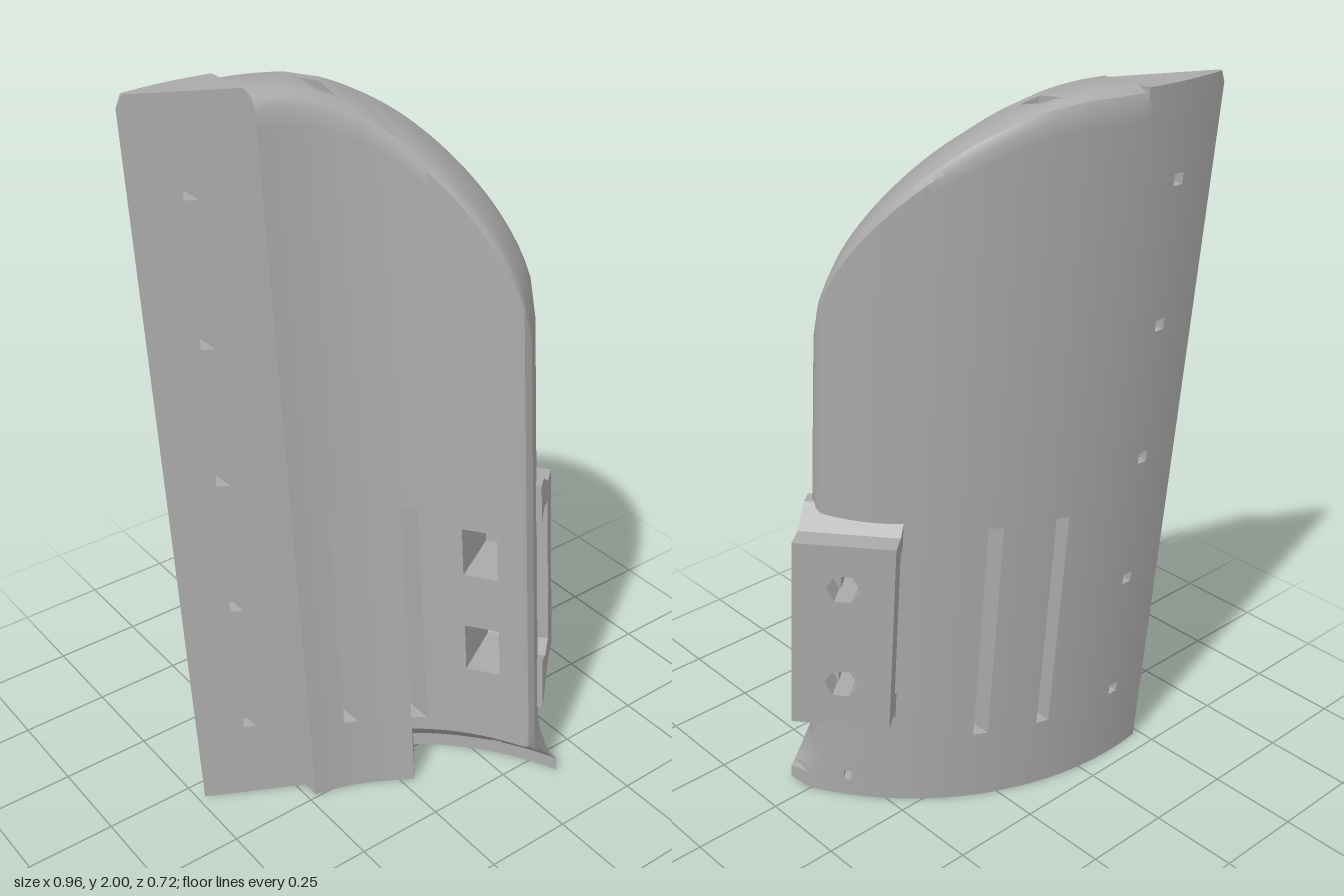
import * as THREE from 'three';
import { toCreasedNormals } from 'three/addons/utils/BufferGeometryUtils.js';

const CX = -0.37, CZ = 0.642, RI = 0.668, RO = 0.842; // shared arc centre, inner and outer radius
const LEAN = new THREE.Matrix4().set(1, 0, 0, 0, 0, 1, 0, 0, 0, -0.085, 1, 0, 0, 0, 0, 1);
const lerp = THREE.MathUtils.lerp, clamp = THREE.MathUtils.clamp;

// Columns of the shell: [front x, back x]; equal neighbours make a step
const KNOTS = [
  [-0.48, -0.48], [-0.365, -0.365], [-0.335, -0.335], [-0.225, -0.225],
  [-0.225, -0.225], [-0.13, -0.13], [-0.095, -0.095], [-0.07, -0.07], [0, 0], [0.035, 0.035],
  [0.035, 0.035], [0.07, 0.07], [0.149, 0.302], [0.17, 0.313], [0.185, 0.325], [0.203, 0.336], [0.247, 0.38],
];
const ROWS = [0, 0.04, 0.055, 0.085, 0.13, 0.18, 0.22, 0.225, 0.255, 0.4, 0.54, 0.605, 0.635, 0.7, 0.84, 0.89,
  0.985, 1.015, 1.1, 1.25, 1.365, 1.395, 1.5, 1.6, 1.68, 1.745, 1.775, 1.85, 1.92, 1.96, 1.985, 2];
const SCREWS = [0.24, 0.62, 1, 1.38, 1.76];
const TOP_HOLE = 7;

function isHole(seg, y) {
  if (seg === 1) return SCREWS.some((s) => Math.abs(y - s) < 0.015);
  if (seg === 5 || seg === 10) return y > 0.22 && y < 0.89;
  if (seg === 13 && y > 0.055 && y < 0.085) return true;
  if (seg >= 12 && seg <= 14) return (y > 0.4 && y < 0.54) || (y > 0.7 && y < 0.84);
  return false;
}

// Rounded upper corner of the shell
function topHeight(x, x0, x1) {
  const t = clamp((x - x0) / (x1 - x0), 0, 1);
  return 1.4 + 0.6 * Math.sqrt(1 - t * t) - (x < -0.47 ? 0.03 : 0);
}

function makeColumns() {
  const cols = [];
  const ang = (x, r) => Math.asin((x - CX) / r);
  for (let s = 0; s < KNOTS.length - 1; s++) {
    const [f0, b0] = KNOTS[s], [f1, b1] = KNOTS[s + 1];
    const step = f0 === f1;
    const a0 = ang(f0, RI), a1 = ang(f1, RI), c0 = ang(b0, RO), c1 = ang(b1, RO);
    const n = step || s === TOP_HOLE ? 1 : Math.max(1, Math.ceil((Math.max(a1 - a0, c1 - c0)) / 0.027));
    for (let i = 0; i < n; i++) cols.push({ a: lerp(a0, a1, i / n), b: lerp(c0, c1, i / n), seg: s, flange: s <= 3, pocket: s >= 10 });
    if (s === KNOTS.length - 2) cols.push({ a: a1, b: c1, seg: s, pocket: true });
  }
  const N = cols.length;
  cols.forEach((c, i) => { c.k = i === N - 1 ? 0.2 : i === N - 2 ? 0.05 : 0; });
  return cols;
}

function shellGeometry() {
  const cols = makeColumns(), pos = [];
  const quad = (a, b, c, d) => { for (const p of [a, b, c, a, c, d]) pos.push(p.x, p.y, p.z); };
  const rowY = (y, h) => (y <= 1.1 ? y : 1.1 + (h - 1.1) * (y - 1.1) / 0.9);
  const front = [], back = [];
  cols.forEach((c, i) => {
    front[i] = []; back[i] = [];
    ROWS.forEach((y, j) => {
      // the lower pocket cuts the inner face back almost to the outer face
      const cut = c.pocket ? clamp((0.18 - y) / 0.14, 0, 1) : 0;
      const r = RI + 0.15 * cut;
      const x0 = CX + RI * Math.sin(c.a), fx = CX + r * Math.sin(c.a), bx = CX + RO * Math.sin(c.b);
      const fz = c.flange ? lerp(-0.193, -0.06, (x0 + 0.48) / 0.255) : CZ - r * Math.cos(c.a);
      const f = new THREE.Vector3(fx, rowY(y, topHeight(x0, -0.2, 0.247)), fz);
      const b = new THREE.Vector3(bx, rowY(y, topHeight(bx, -0.1, 0.38)), CZ - RO * Math.cos(c.b));
      // softened rim
      const rim = y === 2 ? 0.2 : y === 1.985 ? 0.06 : 0;
      const k = c.flange ? 0 : Math.max(c.k * (1 - cut), rim);
      front[i][j] = f.clone().lerp(b, k);
      back[i][j] = b.clone().lerp(f, k);
    });
  });
  const NI = cols.length - 1, NJ = ROWS.length - 1;
  const solid = (i, j) => i >= 0 && j >= 0 && i < NI && j < NJ && !isHole(cols[i].seg, (ROWS[j] + ROWS[j + 1]) / 2);
  for (let i = 0; i < NI; i++) for (let j = 0; j < NJ; j++) {
    if (!solid(i, j)) continue;
    const ring = [[i, j], [i + 1, j], [i + 1, j + 1], [i, j + 1]];
    const F = ring.map(([a, b]) => front[a][b]), B = ring.map(([a, b]) => back[a][b]);
    quad(...F);
    quad(B[0], B[3], B[2], B[1]);
    // walls along the outline and inside the openings
    [[0, -1], [1, 0], [0, 1], [-1, 0]].forEach(([di, dj], e) => {
      if (solid(i + di, j + dj)) return;
      const n = (e + 1) % 4, q = [F[e], B[e], B[n], F[n]];
      if (!(cols[i].seg === TOP_HOLE && j === NJ - 1 && e === 2)) { quad(...q); return; }
      // recess in the upper edge
      const mid = new THREE.Vector3();
      q.forEach((p) => mid.addScaledVector(p, 0.25));
      const inner = q.map((p) => p.clone().lerp(mid, 0.42));
      const floor = inner.map((p) => p.clone().add(new THREE.Vector3(0, -0.15, 0)));
      for (let m = 0; m < 4; m++) {
        const o = (m + 1) % 4;
        quad(q[m], q[o], inner[o], inner[m]);
        quad(inner[m], inner[o], floor[o], floor[m]);
      }
      quad(...floor);
    });
  }
  const g = new THREE.BufferGeometry();
  g.setAttribute('position', new THREE.Float32BufferAttribute(pos, 3));
  return toCreasedNormals(g.applyMatrix4(LEAN), 0.6);
}

const shapeOf = (pts) => new THREE.Shape(pts.map(([x, y]) => new THREE.Vector2(x, y)));

export function createModel() {
  const group = new THREE.Group();
  const grey = new THREE.MeshStandardMaterial({ color: 0xaaaaaa });
  grey.name = 'plain grey';
  const add = (name, geo) => {
    const m = new THREE.Mesh(geo, grey);
    m.name = name;
    group.add(m);
  };

  add('curvedShell', shellGeometry());

  // Side bracket: tangent direction e, outward direction n
  const up = new THREE.Vector3(0, 1, 0);
  const p0 = new THREE.Vector3(0.31, 0, 0), p1 = new THREE.Vector3(0.478, 0, 0.205);
  const e = p1.clone().sub(p0), length = e.length();
  e.normalize();
  const n = new THREE.Vector3(e.z, 0, -e.x);
  const place = (geo, x, y, z, origin) => {
    const m = new THREE.Matrix4().makeBasis(x, y, z).setPosition(origin);
    return geo.applyMatrix4(m).applyMatrix4(LEAN);
  };

  // Pad with two hexagonal bolt openings
  const pad = shapeOf([[0, 0.32], [length, 0.32], [length, 0.89], [0, 0.89]]);
  for (const y of [0.46, 0.76]) {
    const hex = [];
    for (let i = 0; i < 6; i++) {
      const a = -i * Math.PI / 3;
      hex.push(new THREE.Vector2(length / 2 + 0.045 * Math.cos(a), y + 0.045 * Math.sin(a)));
    }
    pad.holes.push(new THREE.Path(hex));
  }
  const padGeo = new THREE.ExtrudeGeometry(pad, { depth: 0.066, bevelEnabled: false });
  add('bracketPad', place(padGeo, e.clone().negate(), up, n, p1.clone().addScaledVector(n, -0.066)));

  // Sloped blocks joining the pad to the shell, leaving a strap slot between them
  const blocks = {
    bracketTop: [[-0.06, 0.89], [-0.13, 0.94], [-0.17, 0.94], [-0.17, 0.83], [-0.12, 0.85], [-0.06, 0.83]],
    bracketBottom: [[-0.06, 0.32], [-0.06, 0.39], [-0.12, 0.37], [-0.17, 0.39], [-0.17, 0.23]],
  };
  for (const [name, pts] of Object.entries(blocks)) {
    const geo = new THREE.ExtrudeGeometry(shapeOf(pts), { depth: length, bevelEnabled: false });
    add(name, place(geo, n, up, e, p0));
  }
  return group;
}
